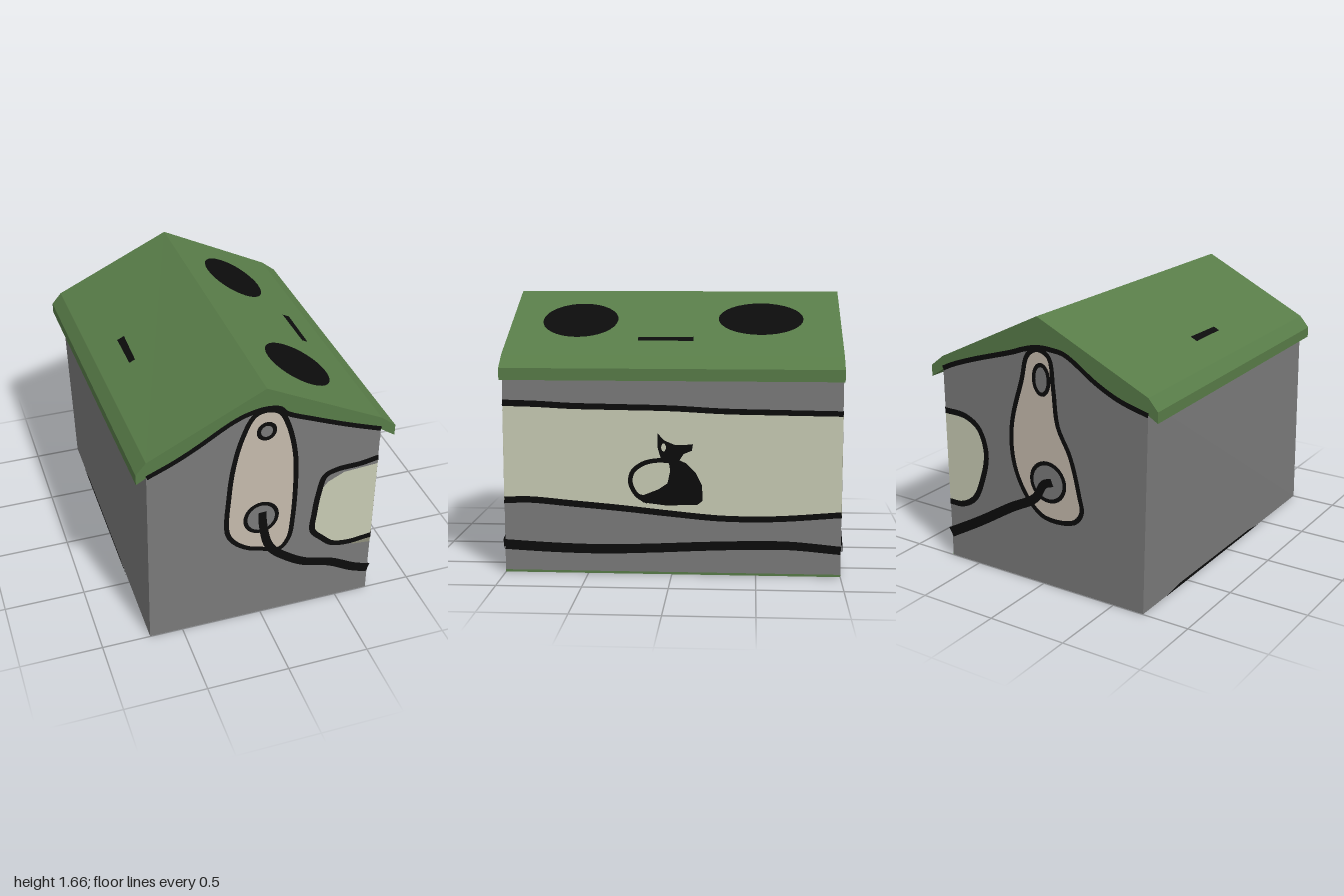
import * as THREE from 'three';

const mat = (name, color) => {
  const m = new THREE.MeshStandardMaterial({ color, side: THREE.DoubleSide });
  m.name = name;
  return m;
};
const V = ([x, y]) => new THREE.Vector2(x, y);

// Solid between a front and a back outline (both anticlockwise seen from +z)
function loft(front, back, z) {
  const n = front.length, pos = [];
  const F = i => [...front[i % n], z], B = i => [...back[i % n], -z];
  for (let i = 0; i < n; i++) pos.push(...F(i), ...B(i), ...F(i + 1), ...F(i + 1), ...B(i), ...B(i + 1));
  for (const [a, b, c] of THREE.ShapeUtils.triangulateShape(front.map(V), [])) pos.push(...F(a), ...F(b), ...F(c));
  for (const [a, b, c] of THREE.ShapeUtils.triangulateShape(back.map(V), [])) pos.push(...B(a), ...B(c), ...B(b));
  const g = new THREE.BufferGeometry();
  g.setAttribute('position', new THREE.Float32BufferAttribute(pos, 3));
  g.computeVertexNormals();
  return g;
}

const smooth = (pts, closed) =>
  new THREE.CatmullRomCurve3(pts.map(p => new THREE.Vector3(p[0], p[1], 0)), closed, 'centripetal');

// Painted line of given width (start, end) along a smooth path
function ribbon(pts, w0, w1 = w0, closed = false) {
  const curve = smooth(pts, closed), n = pts.length * 5, pos = [], idx = [];
  for (let i = 0; i <= n; i++) {
    const p = curve.getPoint(i / n), t = curve.getTangent(i / n);
    const h = (w0 + (w1 - w0) * i / n) / 2;
    pos.push(p.x + t.y * h, p.y - t.x * h, 0, p.x - t.y * h, p.y + t.x * h, 0);
    if (i < n) { const a = i * 2; idx.push(a, a + 2, a + 3, a, a + 3, a + 1); }
  }
  const g = new THREE.BufferGeometry();
  g.setAttribute('position', new THREE.Float32BufferAttribute(pos, 3));
  g.setIndex(idx);
  g.computeVertexNormals();
  return g;
}

const patch = pts => new THREE.ShapeGeometry(new THREE.Shape(pts.map(V)));
const blob = pts => patch(smooth(pts, true).getPoints(pts.length * 4).map(p => [p.x, p.y]));
const oval = (x, y, rx, ry) => new THREE.CircleGeometry(1, 32).scale(rx, ry, 1).translate(x, y, 0);

export function createModel() {
  const model = new THREE.Group();
  model.name = 'house';
  const grey = mat('wall grey', 0x7a7a7a), green = mat('roof green', 0x587c48);
  const black = mat('paint black', 0x0c0c0c), cream = mat('band cream', 0xc8cbb4);
  const beige = mat('panel beige', 0xc6bbad), olive = mat('pale olive', 0x8e8e7b);

  const add = (parent, name, geo, material, layer = 0) => {
    const m = new THREE.Mesh(geo, material);
    m.name = name;
    m.position.z += layer * 0.0015;
    parent.add(m);
    return m;
  };
  const face = (name, x, y, z, rx = 0, ry = 0) => {
    const g = new THREE.Group();
    g.name = name;
    g.position.set(x, y, z);
    g.rotation.set(rx, ry, 0);
    model.add(g);
    return g;
  };

  // Walls and floor; the right-hand wall leans slightly
  const wall = x => [[-0.705, 0], [0.71, 0], [0.71, 1.29], [0, 1.64], [x, 1.29]];
  add(model, 'walls', loft(wall(-0.69), wall(-0.735), 1), grey);

  // Roof with eaves and wavy gable fascia
  const frontLine = [[-0.53, 1.28], [-0.4, 1.35], [-0.2, 1.47], [-0.1, 1.51], [0, 1.525], [0.08, 1.51],
    [0.12, 1.47], [0.3, 1.39], [0.5, 1.31]];
  const backLine = [[-0.55, 1.26], [-0.4, 1.33], [-0.19, 1.46], [-0.1, 1.475], [0, 1.475], [0.1, 1.45],
    [0.18, 1.42], [0.47, 1.33], [0.636, 1.27]];
  const roof = (d, line) => [[0.71, 1.23], [0.8, 1.17], [0.8, 1.24], [0.71, 1.31], [0, 1.655],
    [-0.69 - d, 1.31], [-0.75 - d, 1.24], [-0.75 - d, 1.175], [-0.69 - d, 1.21], ...line];
  add(model, 'roof', loft(roof(0, frontLine), roof(0.045, backLine), 1.001), green);

  // Outlined panel with two round openings and a hose, shared by both gables
  const gablePaint = (parent, { line, panel, holes, hose, fill, edge }) => {
    add(parent, 'fasciaLine', ribbon(line, 0.03), black, 2);
    add(parent, 'bandEnd', patch(fill), cream, 1);
    add(parent, 'bandEndOutline', ribbon(edge, 0.037), black, 2);
    add(parent, 'panel', blob(panel), beige, 3);
    add(parent, 'panelOutline', ribbon(panel, 0.03, 0.03, true), black, 4);
    for (const [x, y, rx, ry] of holes) {
      add(parent, 'openingRim', oval(x, y, rx, ry), black, 4.5);
      add(parent, 'opening', oval(x, y, rx - 0.025, ry - 0.025), grey, 5.2);
    }
    add(parent, 'hose', ribbon(hose, 0.05, 0.065), black, 6);
  };

  const front = face('frontPaint', 0, 0, 1);
  gablePaint(front, {
    line: [[-0.69, 1.21], ...frontLine, [0.71, 1.235]],
    panel: [[0, 1.515], [-0.07, 1.49], [-0.14, 1.35], [-0.19, 1.15], [-0.213, 0.95], [-0.222, 0.7], [-0.185, 0.62],
      [-0.1, 0.55], [0, 0.515], [0.11, 0.49], [0.165, 0.56], [0.185, 0.7], [0.193, 1], [0.18, 1.2], [0.13, 1.4], [0.08, 1.49]],
    holes: [[0.005, 1.375, 0.06, 0.062], [-0.013, 0.76, 0.11, 0.115]],
    hose: [[-0.008, 0.8], [0, 0.7], [0.03, 0.56], [0.07, 0.49], [0.15, 0.42], [0.27, 0.345], [0.45, 0.29],
      [0.6, 0.21], [0.71, 0.17]],
    fill: [[0.71, 0.985], [0.5, 0.97], [0.4, 0.92], [0.345, 0.85], [0.325, 0.7], [0.32, 0.57], [0.38, 0.5],
      [0.45, 0.44], [0.55, 0.42], [0.71, 0.435]],
    edge: [[0.71, 1.03], [0.6, 1.01], [0.45, 1], [0.38, 0.97], [0.345, 0.85], [0.325, 0.7], [0.32, 0.57],
      [0.38, 0.5], [0.45, 0.44], [0.55, 0.42], [0.71, 0.435]],
  });
  add(front, 'bandShade', patch([[0.52, 0.42], [0.6, 0.39], [0.71, 0.38], [0.71, 0.44]]), olive, 0.6);

  // Back gable, seen from behind so x is mirrored
  const m = pts => pts.map(([x, ...r]) => [-x, ...r]);
  const bandBack = [[0.71, 0.97], [0.553, 0.96], [0.454, 0.9], [0.404, 0.75], [0.446, 0.56], [0.51, 0.434],
    [0.61, 0.375], [0.71, 0.37]];
  gablePaint(face('backPaint', 0, 0, -1, 0, Math.PI), {
    line: m([[-0.735, 1.21], ...backLine, [0.71, 1.235]]),
    panel: m([[0, 1.465], [-0.08, 1.43], [-0.108, 1.246], [-0.133, 1.03], [-0.216, 0.86], [-0.275, 0.63],
      [-0.29, 0.53], [-0.23, 0.455], [-0.025, 0.44], [0.082, 0.52], [0.175, 0.685], [0.205, 0.86], [0.19, 1.02],
      [0.115, 1.265], [0.07, 1.42]]),
    holes: m([[-0.025, 1.29, 0.065, 0.1], [-0.055, 0.67, 0.13, 0.13]]),
    hose: m([[-0.085, 0.675], [-0.025, 0.65], [0.04, 0.55], [0.222, 0.447], [0.47, 0.295], [0.71, 0.16]]),
    fill: m(bandBack),
    edge: m(bandBack),
  });

  // Long painted side: cream band, lines and sitting animal
  const side = face('sidePaint', 0.71, 0, 0, 0, Math.PI / 2);
  const top = [[-1, 1.025], [-0.8, 1.02], [-0.6, 1.01], [-0.3, 1.005], [0, 1], [0.3, 0.985], [0.6, 0.98], [1, 0.975]];
  const low = [[-1, 0.44], [-0.85, 0.445], [-0.6, 0.425], [-0.3, 0.4], [0, 0.37], [0.3, 0.345], [0.6, 0.345], [1, 0.375]];
  add(side, 'band', patch([...low, ...[...top].reverse()]), cream, 1);
  add(side, 'bandTopLine', ribbon(top, 0.038, 0.032), black, 2);
  add(side, 'bandLowLine', ribbon(low, 0.04, 0.035), black, 2);
  add(side, 'hoseLine', ribbon([[-1, 0.17], [-0.7, 0.155], [-0.4, 0.15], [-0.1, 0.16], [0.2, 0.175], [0.5, 0.185],
    [0.7, 0.185], [1, 0.16]], 0.06, 0.05), black, 2);
  add(side, 'baseStrip', patch([[-1, 0], [1, 0], [1, 0.014], [-1, 0.014]]), green, 1);
  add(side, 'eaveShade', patch([[-1, 1.17], [-0.6, 1.17], [-1, 1.2]]), olive, 1);
  add(side, 'animalBody', patch([[-0.22, 0.495], [-0.17, 0.436], [-0.035, 0.42], [0.152, 0.425], [0.184, 0.45],
    [0.18, 0.543], [0.142, 0.618], [0.083, 0.676], [0.02, 0.703], [-0.02, 0.708], [-0.008, 0.628], [-0.024, 0.553],
    [-0.078, 0.516], [-0.168, 0.48]]), black, 2);
  add(side, 'animalHead', patch([[-0.083, 0.853], [-0.045, 0.81], [0.02, 0.783], [0.072, 0.783], [0.126, 0.789],
    [0.12, 0.75], [0.072, 0.73], [0.045, 0.69], [-0.06, 0.69], [-0.083, 0.77]]), black, 2);
  add(side, 'animalEar', oval(-0.047, 0.768, 0.014, 0.024), cream, 3);
  add(side, 'animalTail', ribbon([[0.008, 0.685], [-0.08, 0.69], [-0.168, 0.67], [-0.232, 0.618], [-0.243, 0.55],
    [-0.205, 0.48], [-0.14, 0.44]], 0.027), black, 2);

  // Plain side: thin streak along the foot
  add(face('plainSidePaint', -0.705, 0, 0, 0, -Math.PI / 2), 'footStreak',
    patch([[-0.76, 0], [0.44, 0], [0.3, 0.015], [-0.6, 0.02]]), black, 2);

  // Pale patch on the floor underside (x, z)
  add(face('floorPaint', 0, 0, 0, Math.PI / 2), 'floorPatch', blob([[0.58, 0.83], [0.64, 0.5], [0.65, 0.06],
    [0.63, -0.5], [0.5, -0.78], [0.27, -0.9], [-0.06, -0.83], [-0.62, -0.59], [-0.67, -0.32], [-0.68, 0.2],
    [-0.61, 0.56], [-0.41, 0.87], [-0.13, 0.94], [0.34, 0.92]]), olive, 1.5);

  // Roof spots: each slope has its own plane, u down the slope and v towards the back
  const slope = (name, s, run) => {
    const a = Math.atan2(0.345, run), c = Math.cos(a), n = Math.sin(a);
    const g = new THREE.Group();
    g.name = name;
    g.applyMatrix4(new THREE.Matrix4().makeBasis(new THREE.Vector3(c, -s * n, 0),
      new THREE.Vector3(0, 0, -1), new THREE.Vector3(s * n, c, 0)).setPosition(0, 1.655, 0));
    model.add(g);
    return { g, spot: (nm, x, z, rx, rz) => add(g, nm, oval(x / c, -z, rx / c, rz), black, 3),
      dash: (x, z0, z1) => add(g, 'roofDash', ribbon([[x / c, -z0], [x / c, -z1]], 0.05, 0.04), black, 3) };
  };
  const left = slope('leftRoofPaint', 1, 0.71);
  left.spot('backSpot', 0.325, -0.52, 0.175, 0.257);
  left.spot('frontSpot', 0.345, 0.58, 0.185, 0.23);
  left.dash(0.545, -0.12, 0.21);
  slope('rightRoofPaint', -1, 0.7125).dash(-0.527, -0.16, 0.12);

  return model;
}
